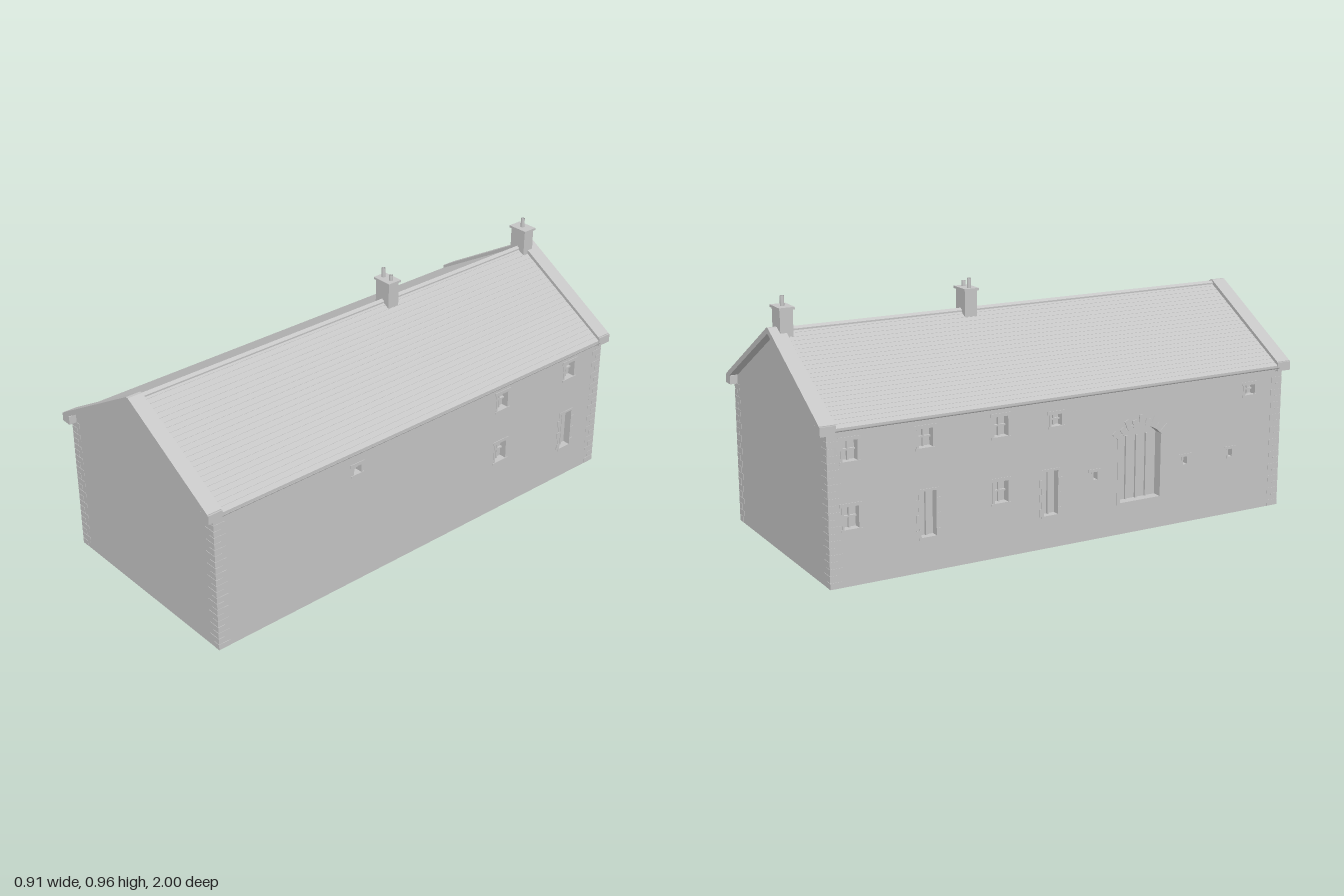
import * as THREE from 'three';

const stone = new THREE.MeshStandardMaterial({ color: 0xc4c4c4, side: THREE.DoubleSide });
stone.name = 'pale grey stone';

const HX = 0.435, HZ = 0.97, EAVE = 0.572, SLOPE = 0.58;

function add(parent, geo, name, x = 0, y = 0, z = 0) {
  const m = new THREE.Mesh(geo, stone);
  m.name = name;
  m.position.set(x, y, z);
  parent.add(m);
  return m;
}
const box = (p, name, w, h, d, x, y, z) => add(p, new THREE.BoxGeometry(w, h, d), name, x, y, z);
const poly = (pts) => new THREE.Shape(pts.map(([x, y]) => new THREE.Vector2(x, y)));
const rect = (x, y, w, h) => poly([[x - w / 2, y - h / 2], [x + w / 2, y - h / 2], [x + w / 2, y + h / 2], [x - w / 2, y + h / 2]]);
const extrude = (shape, depth) => new THREE.ExtrudeGeometry(shape, { depth, bevelEnabled: false, curveSegments: 10 });

// Doorway outline with a segmental arched head
function archShape(u, bottom, w, spring, rise) {
  const r = (w * w / 4 + rise * rise) / (2 * rise);
  const a = Math.asin(w / 2 / r);
  const pts = [[u - w / 2, bottom], [u + w / 2, bottom]];
  for (let i = 0; i <= 12; i++) {
    const t = a - (2 * a * i) / 12;
    pts.push([u + r * Math.sin(t), spring + rise - r + r * Math.cos(t)]);
  }
  return { shape: poly(pts), r, a, cy: spring + rise - r };
}

// Stone surround running back through the wall, with a recessed pane
function opening(wall, name, u, y, w, h, border) {
  const g = new THREE.Group();
  g.name = name;
  wall.add(g);
  const frame = rect(u, y, w + border * 2, h + border * 2);
  frame.holes.push(rect(u, y, w, h));
  add(g, extrude(frame, 0.052), 'surround', 0, 0, -0.05);
  box(g, 'pane', w, h, 0.004, u, y, -0.03);
  return g;
}

function windowPart(wall, u, y, w, h) {
  const g = opening(wall, 'window', u, y, w, h, 0.008);
  box(g, 'mullion', 0.006, h, 0.01, u, y, -0.023);
  box(g, 'transom', w, 0.006, 0.01, u, y, -0.023);
  box(g, 'sill', w + 0.024, 0.009, 0.02, u, y - h / 2 - 0.004, -0.006);
  box(g, 'lintel', w + 0.03, 0.013, 0.04, u, y + h / 2 + 0.006, -0.0175);
}

function slitPart(wall, u, y, w, h) {
  const g = opening(wall, 'slitWindow', u, y, w, h, 0.007);
  box(g, 'lintel', w + 0.04, 0.011, 0.052, u, y + h / 2 + 0.006, -0.0235);
}

// Long and short stones beside a doorway
function jambStones(g, u, w, bottom, top) {
  const n = 6, step = (top - bottom) / n;
  for (const s of [-1, 1]) for (let i = 0; i < n; i += 2)
    box(g, 'jambStone', 0.018, step, 0.0525, u + s * (w / 2 + 0.009), bottom + step * (i + 0.5), -0.0235);
}

function doorPart(wall, u, y, w, h) {
  const g = opening(wall, 'door', u, y, w, h, 0.009);
  box(g, 'doorPost', 0.006, h, 0.01, u, y, -0.023);
  jambStones(g, u, w, y - h / 2, y + h / 2);
}

function archedDoor(wall, u) {
  const g = new THREE.Group();
  g.name = 'archedDoorway';
  wall.add(g);
  const bottom = 0.125, w = 0.18, spring = 0.375, rise = 0.04;
  const inner = archShape(u, bottom, w, spring, rise);
  const outer = archShape(u, bottom - 0.008, w + 0.03, spring, rise + 0.015);
  outer.shape.holes.push(inner.shape);
  add(g, extrude(outer.shape, 0.062), 'archSurround', 0, 0, -0.06);
  add(g, extrude(inner.shape, 0.004), 'doorLeaves', 0, 0, -0.04);
  for (const d of [-0.045, 0, 0.045]) box(g, 'doorBatten', 0.007, 0.25, 0.01, u + d, 0.25, -0.033);
  // wedge stones of alternating length round the arch
  for (let i = 0; i < 9; i++) {
    const t = -inner.a + (2 * inner.a * i) / 8;
    const len = i % 2 ? 0.03 : 0.044, r = inner.r + len / 2;
    const v = box(g, 'archStone', 0.019, len, 0.064, u + r * Math.sin(t), inner.cy + r * Math.cos(t), -0.0285);
    v.rotation.z = -t;
  }
}

// A long wall in its own frame: u along the wall, outside facing local +z
function longWall(root, name, side, parts) {
  const wall = new THREE.Group();
  wall.name = name;
  wall.rotation.y = side * Math.PI / 2;
  wall.position.x = side * HX;
  root.add(wall);
  const sheet = rect(0, EAVE / 2, HZ * 2, EAVE);
  for (const [build, z, y, w, h] of parts) {
    const u = -side * z;
    build(wall, u, y, w, h);
    sheet.holes.push(build === archedDoor ? archShape(u, 0.125, 0.18, 0.375, 0.04).shape : rect(u, y, w, h));
  }
  add(wall, new THREE.ShapeGeometry(sheet), 'wallFace');
}

// Roof slope with shallow stepped slate courses
function roofSlope(root, side) {
  const n = 24, run = 0.448, top = 0.836;
  const pts = [[0, top - 0.014], [0, top]];
  for (let i = 1; i <= n; i++) {
    const x = (run * i) / n, y = top - SLOPE * x;
    pts.push([x, y + 0.001]);
    if (i < n) pts.push([x, y]);
  }
  pts.push([run, top - SLOPE * run - 0.014]);
  const m = add(root, extrude(poly(pts.map(([x, y]) => [x * side, y])), 1.9), side > 0 ? 'leftRoofSlope' : 'rightRoofSlope', 0, 0, -0.95);
  // half-round gutter below the slates
  const gutter = new THREE.CylinderGeometry(0.007, 0.007, 1.89, 10, 1, true, -Math.PI / 2, Math.PI);
  gutter.rotateX(Math.PI / 2);
  add(root, gutter, 'gutter', side * 0.45, 0.572, 0);
  return m;
}

function chimney(root, z, pots) {
  const g = new THREE.Group();
  g.name = 'chimney';
  g.position.z = z;
  root.add(g);
  box(g, 'stack', 0.074, 0.1, 0.05, 0, 0.866, 0);
  box(g, 'cap', 0.088, 0.009, 0.06, 0, 0.919, 0);
  for (const [x, top] of pots) {
    const r = 0.008, wall = [[r, 0.92], [r, top], [r * 0.7, top], [r * 0.7, 0.925]];
    add(g, new THREE.LatheGeometry(wall.map(([a, b]) => new THREE.Vector2(a, b)), 12), 'chimneyPot', x, 0, 0);
  }
}

export function createModel() {
  const root = new THREE.Group();
  root.name = 'longFarmhouse';

  // Gable ends with coping and kneeler stones
  const gable = poly([[-HX, 0], [HX, 0], [HX, EAVE], [0, 0.824], [-HX, EAVE]]);
  const coping = poly([[-0.445, 0.592], [-0.445, 0.57], [0, 0.828], [0.445, 0.57], [0.445, 0.592], [0.006, 0.849], [-0.006, 0.849]]);
  for (const s of [1, -1]) {
    const g = new THREE.Group();
    g.name = s > 0 ? 'frontGable' : 'backGable';
    g.rotation.y = s > 0 ? 0 : Math.PI;
    root.add(g);
    add(g, new THREE.ShapeGeometry(gable), 'gableWall', 0, 0, HZ);
    add(g, extrude(coping, 0.06), 'coping', 0, 0, 0.94);
    for (const k of [-1, 1]) box(g, 'kneeler', 0.044, 0.034, 0.06, k * 0.429, 0.572, 0.97);
  }

  // Long side walls; each entry gives part, z, y, width, height
  longWall(root, 'leftWall', 1, [
    [windowPart, -0.413, 0.492, 0.054, 0.07], [windowPart, -0.79, 0.492, 0.054, 0.07],
    [windowPart, -0.415, 0.265, 0.056, 0.082], [windowPart, 0.328, 0.488, 0.036, 0.034],
    [doorPart, -0.79, 0.217, 0.058, 0.16],
  ]);
  longWall(root, 'rightWall', -1, [
    [windowPart, -0.885, 0.49, 0.056, 0.075], [windowPart, -0.885, 0.25, 0.056, 0.082],
    [windowPart, -0.596, 0.495, 0.056, 0.07], [windowPart, -0.294, 0.495, 0.056, 0.075],
    [windowPart, -0.294, 0.25, 0.056, 0.082], [windowPart, -0.063, 0.488, 0.046, 0.045],
    [windowPart, 0.818, 0.493, 0.046, 0.04],
    [doorPart, -0.588, 0.215, 0.06, 0.17], [doorPart, -0.085, 0.212, 0.06, 0.17],
    [slitPart, 0.107, 0.25, 0.018, 0.03], [slitPart, 0.516, 0.25, 0.018, 0.03],
    [slitPart, 0.73, 0.25, 0.018, 0.03], [archedDoor, 0.31, 0, 0, 0],
  ]);

  // Alternating corner stones
  const n = 22, step = 0.556 / n;
  for (const sx of [-1, 1]) for (const sz of [-1, 1]) for (let i = 0; i < n; i++) {
    const lx = i % 2 ? 0.05 : 0.03, lz = i % 2 ? 0.03 : 0.05;
    box(root, 'cornerStone', lx, step - 0.002, lz,
      sx * (HX + 0.0015 - lx / 2), step * (i + 0.5), sz * (HZ + 0.0015 - lz / 2));
  }

  // Roof, ridge and chimneys
  roofSlope(root, 1);
  roofSlope(root, -1);
  const ridge = poly([[-0.012, 0.832], [0, 0.839], [0.012, 0.832], [0.012, 0.838], [0, 0.846], [-0.012, 0.838]]);
  add(root, extrude(ridge, 1.9), 'ridgeTiles', 0, 0, -0.95);
  chimney(root, -0.2, [[-0.022, 0.96], [0.021, 0.945]]);
  chimney(root, -0.94, [[0, 0.96]]);
  return root;
}
